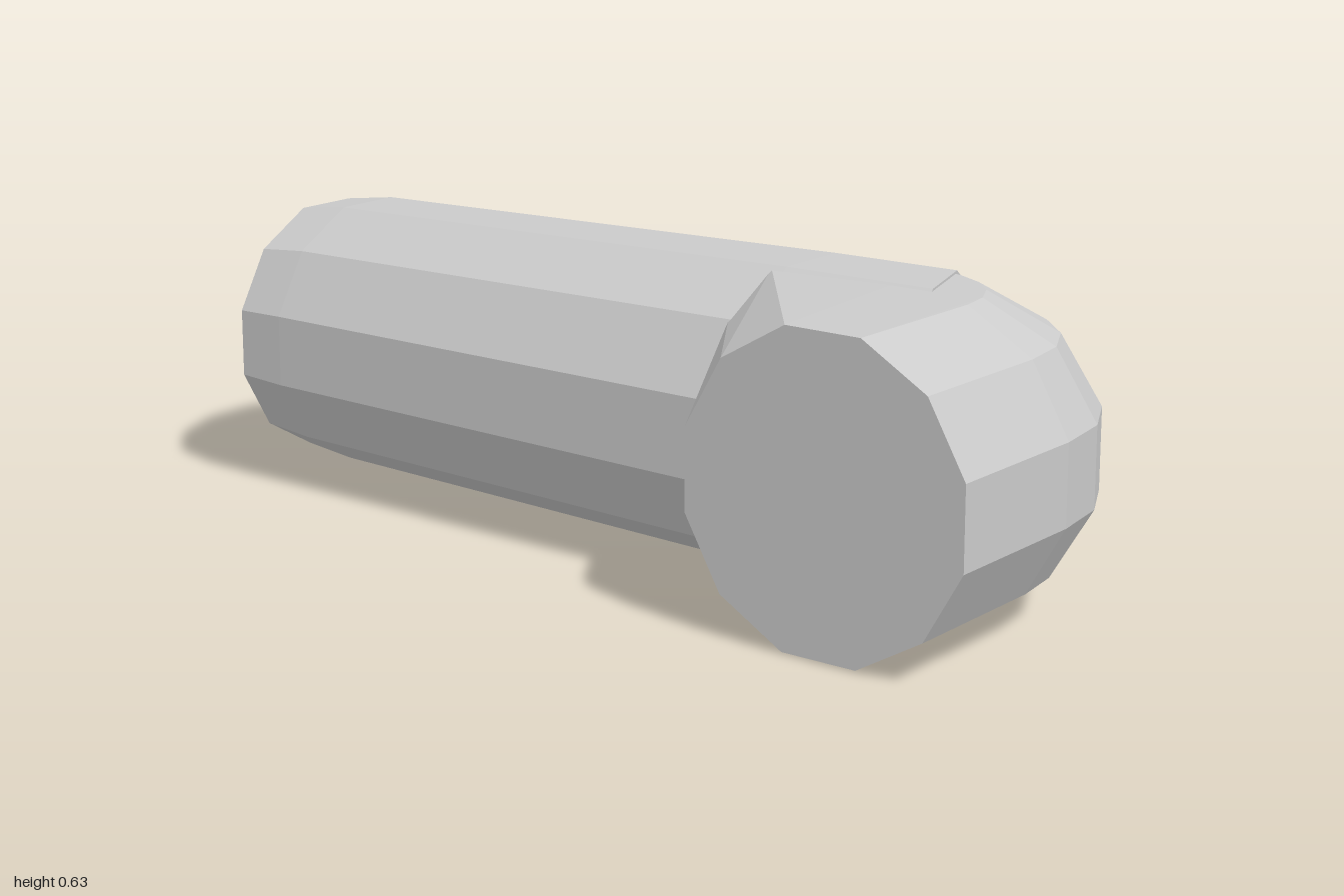
import * as THREE from 'three';
import { ConvexGeometry } from 'three/addons/geometries/ConvexGeometry.js';

const SIDES = 12;
const MID_Y = 0.317;

// Twelve-sided ring with flats on its sides; turn 0 faces along x, PI/2 along z.
function ring(cx, cz, apothem, turn = 0, slant = 0) {
  const r = apothem / Math.cos(Math.PI / SIDES);
  const points = [];
  for (let i = 0; i < SIDES; i++) {
    const a = ((i + 0.5) / SIDES) * Math.PI * 2;
    const across = r * Math.cos(a);
    points.push(new THREE.Vector3(
      cx + across * (Math.sin(turn) + slant),
      MID_Y + r * Math.sin(a),
      cz + across * Math.cos(turn)
    ));
  }
  return points;
}

function hull(name, points) {
  const material = new THREE.MeshStandardMaterial({ color: 0xcccccc, flatShading: true });
  const mesh = new THREE.Mesh(new ConvexGeometry(points), material);
  mesh.name = name;
  return mesh;
}

export function createModel() {
  const group = new THREE.Group();
  group.name = 'pipeElbow';

  // Long, slightly tapering arm with a slanted inner end
  group.add(hull('longArm', [
    ...ring(-1, -0.07, 0.269),
    ...ring(-0.88, -0.078, 0.284),
    ...ring(0.32, -0.085, 0.311),
    ...ring(0.63, -0.088, 0.313, 0, 0.33),
  ]));

  // Rounded elbow: from inside the arm, round a quarter bend, to the front opening
  const elbow = [...ring(0.28, -0.085, 0.302)];
  const steps = 5;
  for (let i = 0; i <= steps; i++) {
    const turn = (i / steps) * Math.PI / 2;
    elbow.push(...ring(
      0.55 + 0.138 * Math.sin(turn),
      0.05 - 0.138 * Math.cos(turn),
      0.308, -turn
    ));
  }
  elbow.push(...ring(0.69, 0.4, 0.31, Math.PI / 2));
  group.add(hull('elbow', elbow));

  return group;
}
